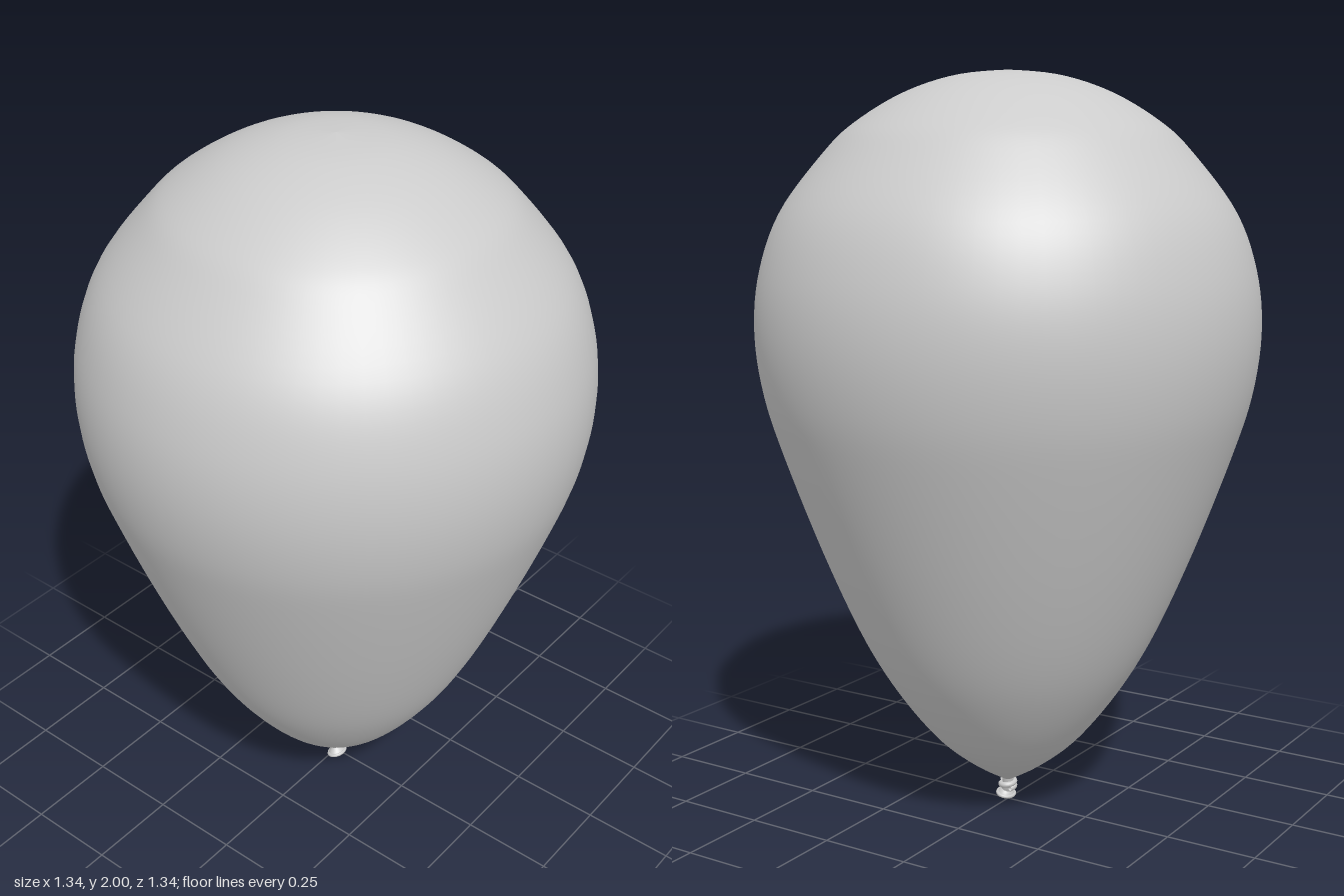
import * as THREE from 'three';

const material = new THREE.MeshStandardMaterial({ color: 0xcccccc, roughness: 0.7 });
const openMaterial = new THREE.MeshStandardMaterial({ color: 0xcccccc, roughness: 0.7, side: THREE.DoubleSide });

function addMesh(parent, name, geometry, mat = material) {
  const mesh = new THREE.Mesh(geometry, mat);
  mesh.name = name;
  parent.add(mesh);
  return mesh;
}

// Smooth profile through [radius, height] pairs, listed bottom to top
function profile(pairs, steps) {
  const curve = new THREE.SplineCurve(pairs.map(([r, y]) => new THREE.Vector2(r, y)));
  return curve.getPoints(steps).map((p) => new THREE.Vector2(Math.max(p.x, 0), p.y));
}

export function createModel() {
  const model = new THREE.Group();
  model.name = 'balloon';

  // Inflated teardrop body
  const body = profile([
    [0.008, 0.06], [0.105, 0.12], [0.205, 0.205], [0.31, 0.34], [0.4, 0.495],
    [0.5, 0.725], [0.6, 0.995], [0.652, 1.17], [0.67, 1.335], [0.652, 1.49],
    [0.595, 1.64], [0.48, 1.79], [0.4, 1.865], [0.275, 1.94], [0.14, 1.985], [0, 2],
  ], 80);
  addMesh(model, 'body', new THREE.LatheGeometry(body, 72));

  // Tied knot under the body
  const knot = new THREE.Group();
  knot.name = 'knot';
  model.add(knot);

  // Pinched neck, leaning slightly off the axis
  const neckPath = new THREE.CatmullRomCurve3([
    new THREE.Vector3(0, 0.072, 0),
    new THREE.Vector3(0.004, 0.045, 0.005),
    new THREE.Vector3(0.012, 0.018, 0.012),
  ]);
  addMesh(knot, 'neck', new THREE.TubeGeometry(neckPath, 10, 0.016, 16, false), openMaterial);

  // Rubber wrapped around the neck
  const coil = [];
  for (let i = 0; i <= 24; i++) {
    const t = i / 24, a = t * Math.PI * 3.2;
    coil.push(new THREE.Vector3(
      0.004 + 0.018 * Math.cos(a), 0.055 - 0.02 * t, 0.005 + 0.021 * Math.sin(a)));
  }
  addMesh(knot, 'wrap', new THREE.TubeGeometry(new THREE.CatmullRomCurve3(coil), 64, 0.008, 10, false), openMaterial);

  // Flared mouth with a rolled rim
  const mouth = new THREE.Group();
  mouth.name = 'mouth';
  mouth.position.set(0.013, 0.016, 0.012);
  mouth.rotation.z = 0.25;
  mouth.scale.set(0.9, 1, 1.1);
  knot.add(mouth);
  const flare = profile([[0.027, -0.004], [0.022, 0.004], [0.014, 0.014], [0.011, 0.024]], 12);
  addMesh(mouth, 'flare', new THREE.LatheGeometry(flare, 24), openMaterial);
  const rim = new THREE.TorusGeometry(0.025, 0.005, 8, 24);
  rim.rotateX(Math.PI / 2);
  addMesh(mouth, 'rim', rim).position.y = -0.004;

  return model;
}
